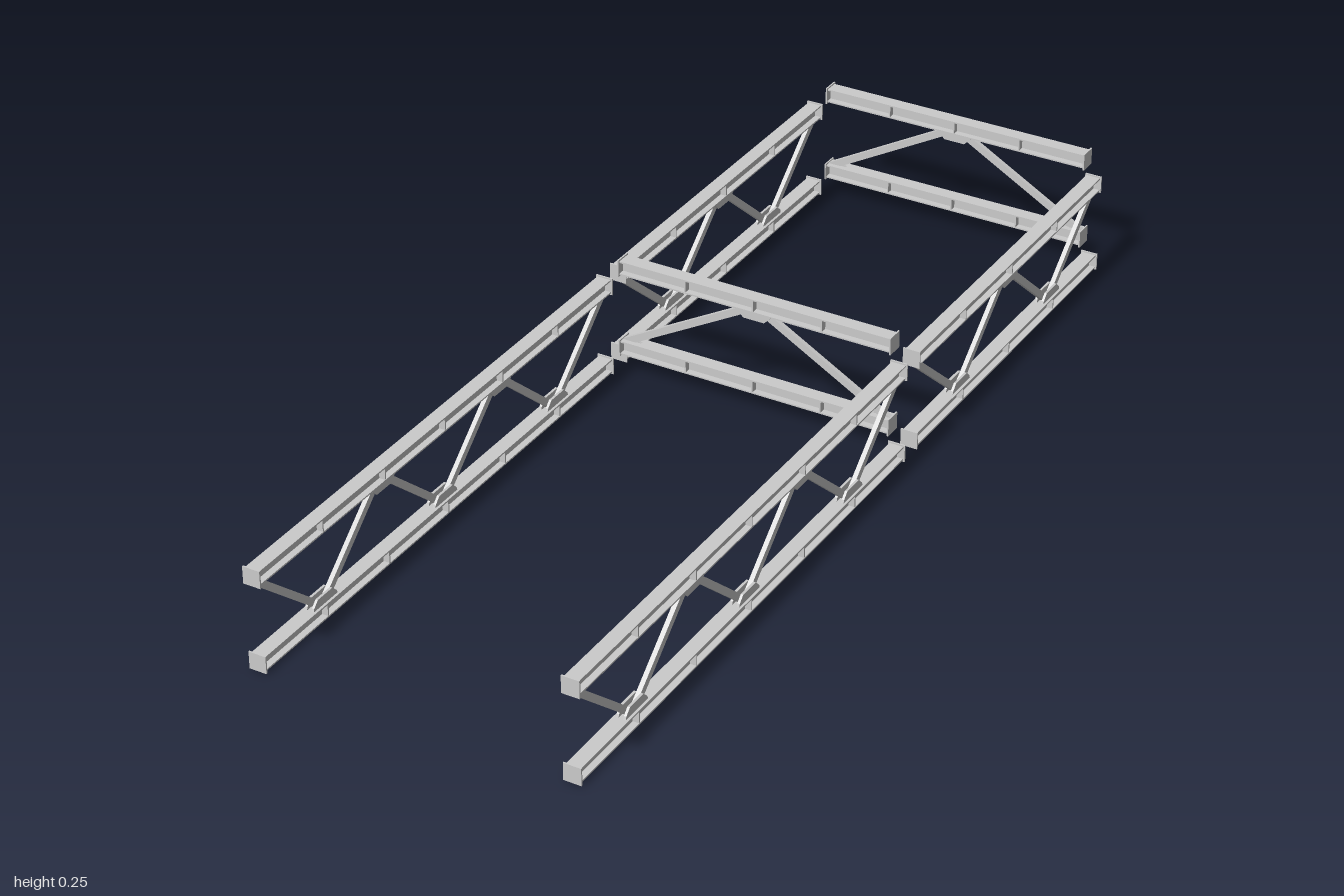
import * as THREE from 'three';

const material = new THREE.MeshStandardMaterial({ color: 0xcccccc, flatShading: true });

const CHORD = 0.029;   // depth and width of a chord beam
const PLATE = 0.035;   // square end plate
const SHEET = 0.003;   // flange, web and plate thickness
const LOW = PLATE / 2; // height of the lower chord's axis
const RISE = 0.174;    // distance between chord axes

function box(name, w, h, d, x, y, z) {
  const mesh = new THREE.Mesh(new THREE.BoxGeometry(w, h, d), material);
  mesh.name = name;
  mesh.position.set(x, y, z);
  return mesh;
}

// Flat plate cut from an outline in the truss plane, centred on z
function plate(name, points, thickness, z = 0) {
  const shape = new THREE.Shape(points.map(([x, y]) => new THREE.Vector2(x, y)));
  const geometry = new THREE.ExtrudeGeometry(shape, { depth: thickness, bevelEnabled: false });
  geometry.translate(0, 0, z - thickness / 2);
  const mesh = new THREE.Mesh(geometry, material);
  mesh.name = name;
  return mesh;
}

// I-beam with end plates and evenly spaced web stiffeners
function chord(name, length, panels) {
  const group = new THREE.Group();
  group.name = name;
  const inner = length - 2 * SHEET;
  group.add(box('web', inner, CHORD - 2 * SHEET, SHEET, 0, 0, 0));
  for (const s of [-1, 1]) {
    group.add(box('flange', inner, SHEET, CHORD, 0, s * (CHORD - SHEET) / 2, 0));
    group.add(box('endPlate', SHEET, PLATE, PLATE, s * (length - SHEET) / 2, 0, 0));
  }
  for (let i = 1; i < panels; i++) {
    group.add(box('stiffener', SHEET, CHORD - 2 * SHEET, CHORD - 0.001, -length / 2 + i * length / panels, 0, 0));
  }
  return group;
}

// Truss along x: two chords joined by zigzag bars and gussets
function truss(name, length, bays, panels, startsHigh) {
  const group = new THREE.Group();
  group.name = name;
  const bottom = chord('lowerChord', length, panels);
  bottom.position.y = LOW;
  const top = chord('upperChord', length, panels);
  top.position.y = LOW + RISE;
  group.add(bottom, top);

  const faceY = [LOW + CHORD / 2, LOW + RISE - CHORD / 2];
  const pitch = length / bays;
  const angle = Math.atan2(faceY[1] - faceY[0], pitch - 0.029);
  const half = 0.0072 / Math.sin(angle); // half the bar's horizontal cut
  const gap = half + 0.001;
  const isHigh = (i) => (i % 2 === 0) === startsHigh;

  for (let i = 0; i < bays; i++) {
    const x0 = -length / 2 + i * pitch + gap;
    const x1 = -length / 2 + (i + 1) * pitch - gap;
    const y0 = faceY[isHigh(i) ? 1 : 0];
    const y1 = faceY[isHigh(i) ? 0 : 1];
    group.add(plate('diagonal', [[x0 - half, y0], [x0 + half, y0], [x1 + half, y1], [x1 - half, y1]], 0.009));
  }

  for (let i = 0; i <= bays; i++) {
    const x = -length / 2 + i * pitch;
    const y = faceY[isHigh(i) ? 1 : 0];
    const d = isHigh(i) ? -1 : 1;
    if (i === 0 || i === bays) {
      // small foot where the end bar meets the chord
      const s = i === 0 ? 1 : -1;
      group.add(plate('endGusset', [[x + s * 0.004, y], [x + s * 0.042, y], [x + s * 0.024, y + d * 0.01]], 0.005));
    } else {
      const outline = [[x - 0.036, y], [x - 0.034, y + d * 0.006], [x - 0.022, y + d * 0.018],
        [x + 0.022, y + d * 0.018], [x + 0.034, y + d * 0.006], [x + 0.036, y]];
      for (const s of [-1, 1]) group.add(plate('gusset', outline, 0.005, s * 0.007));
    }
  }
  return group;
}

export function createModel() {
  const model = new THREE.Group();
  model.name = 'trussFrame';

  // Long and short girders on both sides
  for (const [side, x] of [['left', 0.313], ['right', -0.313]]) {
    const front = truss(side + 'FrontTruss', 1.137, 6, 6, true);
    front.position.set(x, 0, 0.4315);
    const rear = truss(side + 'RearTruss', 0.78, 4, 4, true);
    rear.position.set(x, 0, -0.574);
    for (const t of [front, rear]) {
      t.rotation.y = Math.PI / 2;
      model.add(t);
    }
  }

  // Cross trusses, set slightly higher
  for (const [name, z] of [['middleCrossTruss', -0.162], ['rearCrossTruss', -0.9825]]) {
    const cross = truss(name, 0.58, 2, 4, false);
    cross.position.set(0, 0.037, z);
    model.add(cross);
  }
  return model;
}
